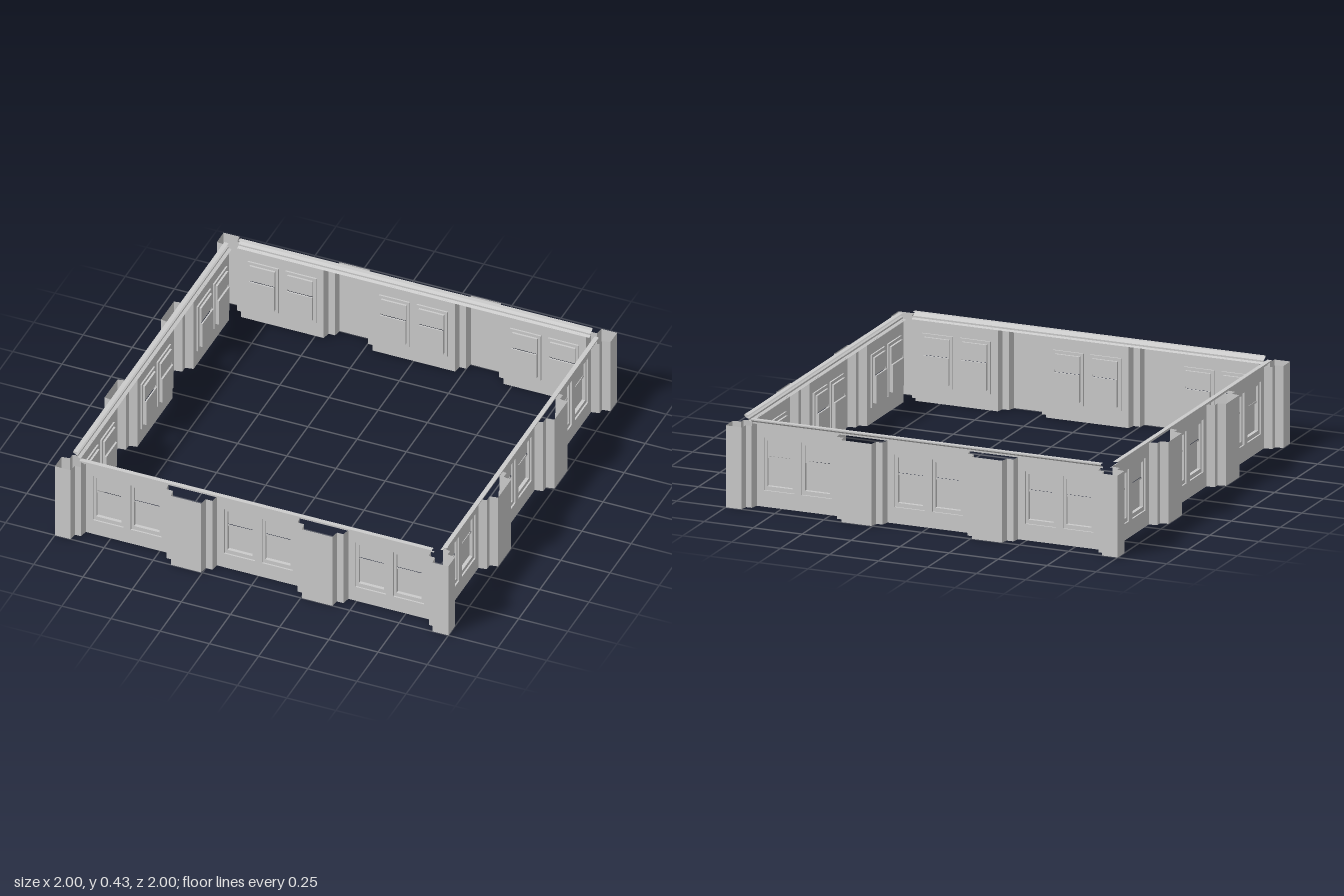
import * as THREE from 'three';

const material = new THREE.MeshStandardMaterial({ color: 0xcccccc, side: THREE.DoubleSide, flatShading: true });
const H = 0.4;       // wall height
const WALL = 0.92;   // distance of the bay walls from the centre

function mesh(name, geometry) {
  const m = new THREE.Mesh(geometry, material);
  m.name = name;
  return m;
}

// Flat quads between successive rows of 3D points
function loft(rows, closed = false) {
  const pos = [];
  for (let r = 0; r + 1 < rows.length; r++) {
    const a = rows[r], b = rows[r + 1], n = a.length;
    for (let i = 0; i < (closed ? n : n - 1); i++) {
      const j = (i + 1) % n;
      pos.push(...a[i], ...a[j], ...b[j], ...a[i], ...b[j], ...b[i]);
    }
  }
  const g = new THREE.BufferGeometry();
  g.setAttribute('position', new THREE.Float32BufferAttribute(pos, 3));
  g.computeVertexNormals();
  return g;
}

// Vertical sheet following a plan outline of [x, z] points
const upright = (plan) => loft([0, H].map((y) => plan.map(([x, z]) => [x, y, z])));

const rect = (w, y0, y1, z) => [[-w, y0, z], [w, y0, z], [w, y1, z], [-w, y1, z]];

const FRAME = { w: 0.078, y0: 0.08, y1: 0.337 };

// Recessed double-sash window
function windowUnit(x) {
  const g = new THREE.Group();
  g.name = 'window';
  g.add(mesh('windowFrame', loft([
    rect(FRAME.w, FRAME.y0, FRAME.y1, WALL),
    rect(FRAME.w, FRAME.y0, FRAME.y1, 0.912),
    rect(0.064, 0.1, 0.322, 0.912),
    rect(0.064, 0.1, 0.322, 0.902),
  ], true)));
  const sash = (name, y0, y1, z) => g.add(mesh(name, loft([
    [[-0.064, y0, z], [0.064, y0, z]], [[-0.064, y1, z], [0.064, y1, z]],
  ])));
  sash('upperSash', 0.245, 0.322, 0.902);
  sash('lowerSash', 0.1, 0.235, 0.895);
  // edges joining the two sash planes, with the meeting rail between
  g.add(mesh('lowerSashEdge', loft([rect(0.064, 0.1, 0.235, 0.902), rect(0.064, 0.1, 0.235, 0.895)], true)));
  sash('meetingRail', 0.235, 0.245, 0.905);
  g.position.x = x;
  return g;
}

// Bay wall with two window openings
function bay(x0, x1, centre) {
  const g = new THREE.Group();
  g.name = 'bay';
  const s = new THREE.Shape([[x0, 0], [x1, 0], [x1, H], [x0, H]].map((p) => new THREE.Vector2(...p)));
  for (const side of [-1, 1]) {
    const cx = centre + side * 0.096;
    s.holes.push(new THREE.Path(rect(FRAME.w, FRAME.y0, FRAME.y1, 0)
      .reverse().map(([x, y]) => new THREE.Vector2(cx + x, y))));
    g.add(windowUnit(cx));
  }
  g.add(mesh('bayWall', new THREE.ShapeGeometry(s).translate(0, 0, WALL)));
  return g;
}

function wallSide() {
  const g = new THREE.Group();
  g.name = 'wallSide';
  g.add(bay(-0.877, -0.457, -0.667), bay(-0.21, 0.21, 0), bay(0.457, 0.877, 0.667));

  // Stepped hollow pilasters between the bays
  const pilaster = [[0.21, WALL], [0.217, 0.96], [0.25, 0.96], [0.257, 1],
    [0.41, 1], [0.417, 0.96], [0.45, 0.96], [0.457, WALL]];
  g.add(mesh('pilasterLeft', upright(pilaster)));
  g.add(mesh('pilasterRight', upright(pilaster.map(([x, z]) => [-x, z]).reverse())));

  // Stepped corner post, symmetric about the diagonal
  const half = [[0.877, WALL], [0.885, 0.96], [0.914, 0.96], [0.92, 1]];
  g.add(mesh('cornerPost', upright([...half, [1, 1], ...half.map(([x, z]) => [z, x]).reverse()])));

  // Moulded cornice running straight above the bays
  const profile = [[0.914, 0.398], [0.93, 0.403], [0.93, 0.411], [0.94, 0.415],
    [0.952, 0.424], [0.952, 0.43], [0.93, 0.43]];
  g.add(mesh('cornice', loft(profile.map(([z, y]) => [[-0.895, y, z], [0.895, y, z]]))));
  return g;
}

export function createModel() {
  const model = new THREE.Group();
  model.name = 'buildingStorey';
  for (let i = 0; i < 4; i++) {
    const side = wallSide();
    side.rotation.y = i * Math.PI / 2;
    model.add(side);
  }
  return model;
}
